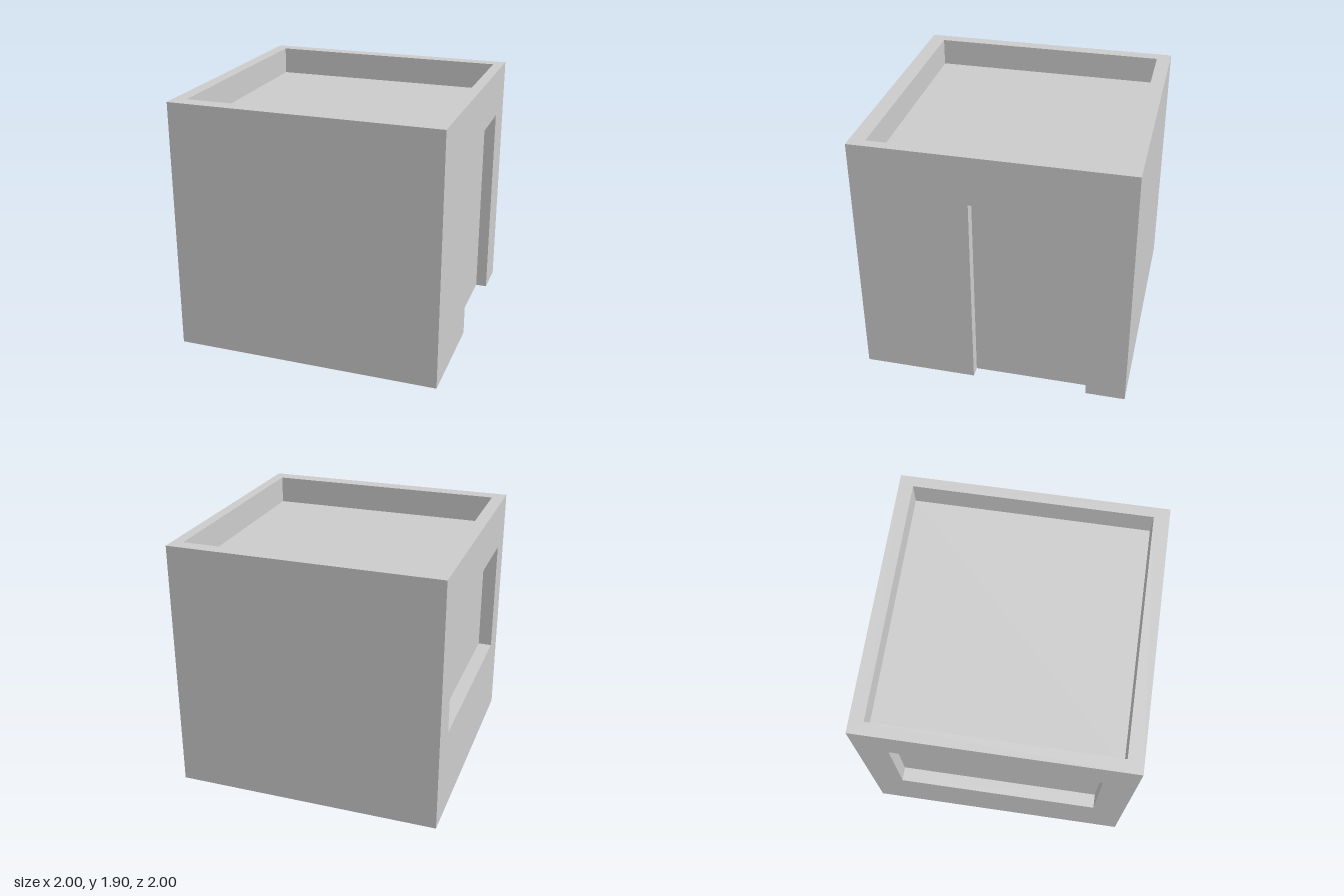
import * as THREE from 'three';

const H = 1.9; // overall height
const material = new THREE.MeshStandardMaterial({ color: 0xcccccc, side: THREE.DoubleSide });
const toPoints = (list) => list.map(([x, y]) => new THREE.Vector2(x, y));
const rect = (x0, y0, x1, y1) => [[x0, y0], [x1, y0], [x1, y1], [x0, y1]];

function addMesh(group, name, geometry, z = 0) {
  const mesh = new THREE.Mesh(geometry, material);
  mesh.name = name;
  mesh.position.z = z;
  group.add(mesh);
}

// Flat face at a local z, optionally with a hole
function flat(outline, hole) {
  const shape = new THREE.Shape(toPoints(outline));
  if (hole) shape.holes.push(new THREE.Path(toPoints(hole)));
  return new THREE.ShapeGeometry(shape);
}

// Reveal: sides of a recess along a counter-clockwise path, facing inwards
function reveal(path, depth, closed) {
  const positions = [];
  const count = closed ? path.length : path.length - 1;
  for (let i = 0; i < count; i++) {
    const [ax, ay] = path[i];
    const [bx, by] = path[(i + 1) % path.length];
    positions.push(ax, ay, -depth, ax, ay, 0, bx, by, -depth);
    positions.push(bx, by, -depth, ax, ay, 0, bx, by, 0);
  }
  const geometry = new THREE.BufferGeometry();
  geometry.setAttribute('position', new THREE.Float32BufferAttribute(positions, 3));
  geometry.computeVertexNormals();
  return geometry;
}

// Face with a recess: outer surface, reveal and set-back panel
function recessedFace(names, outline, opening, level, depth, notch = false) {
  const group = new THREE.Group();
  group.name = names[0];
  addMesh(group, names[0] + 'Surface', flat(outline, notch ? null : opening), level);
  addMesh(group, names[1], reveal(opening, depth, !notch), level);
  addMesh(group, names[2], flat(opening), level - depth);
  return group;
}

export function createModel() {
  const model = new THREE.Group();
  model.name = 'flatRoofHut';
  const wall = rect(-1, 0, 1, H);

  // Plain front and back walls
  for (const [name, angle] of [['frontWall', 0], ['backWall', Math.PI]]) {
    const group = new THREE.Group();
    group.name = name;
    addMesh(group, name + 'Surface', flat(wall), 1);
    group.rotation.y = angle;
    model.add(group);
  }

  // Wall with a doorway that reaches the floor
  const door = [[0.705, 0], [0.705, 1.53], [-0.155, 1.53], [-0.155, 0]];
  const doorOutline = [[-1, 0], ...[...door].reverse(), [1, 0], [1, H], [-1, H]];
  const doorWall = recessedFace(['doorWall', 'doorReveal', 'doorPanel'], doorOutline, door, 1, 0.085, true);
  doorWall.rotation.y = Math.PI / 2;

  // Wall with a wide window
  const windowHole = rect(-0.755, 0.655, 0.765, 1.53);
  const windowWall = recessedFace(['windowWall', 'windowReveal', 'windowPanel'], wall, windowHole, 1, 0.105);
  windowWall.rotation.y = -Math.PI / 2;

  // Parapet rim around the sunken roof
  const roofHole = rect(-0.905, -0.885, 0.92, 0.895);
  const roof = recessedFace(['parapet', 'parapetInside', 'roof'], rect(-1, -1, 1, 1), roofHole, H, 0.21);
  roof.rotation.x = -Math.PI / 2;

  model.add(doorWall, windowWall, roof);
  return model;
}
